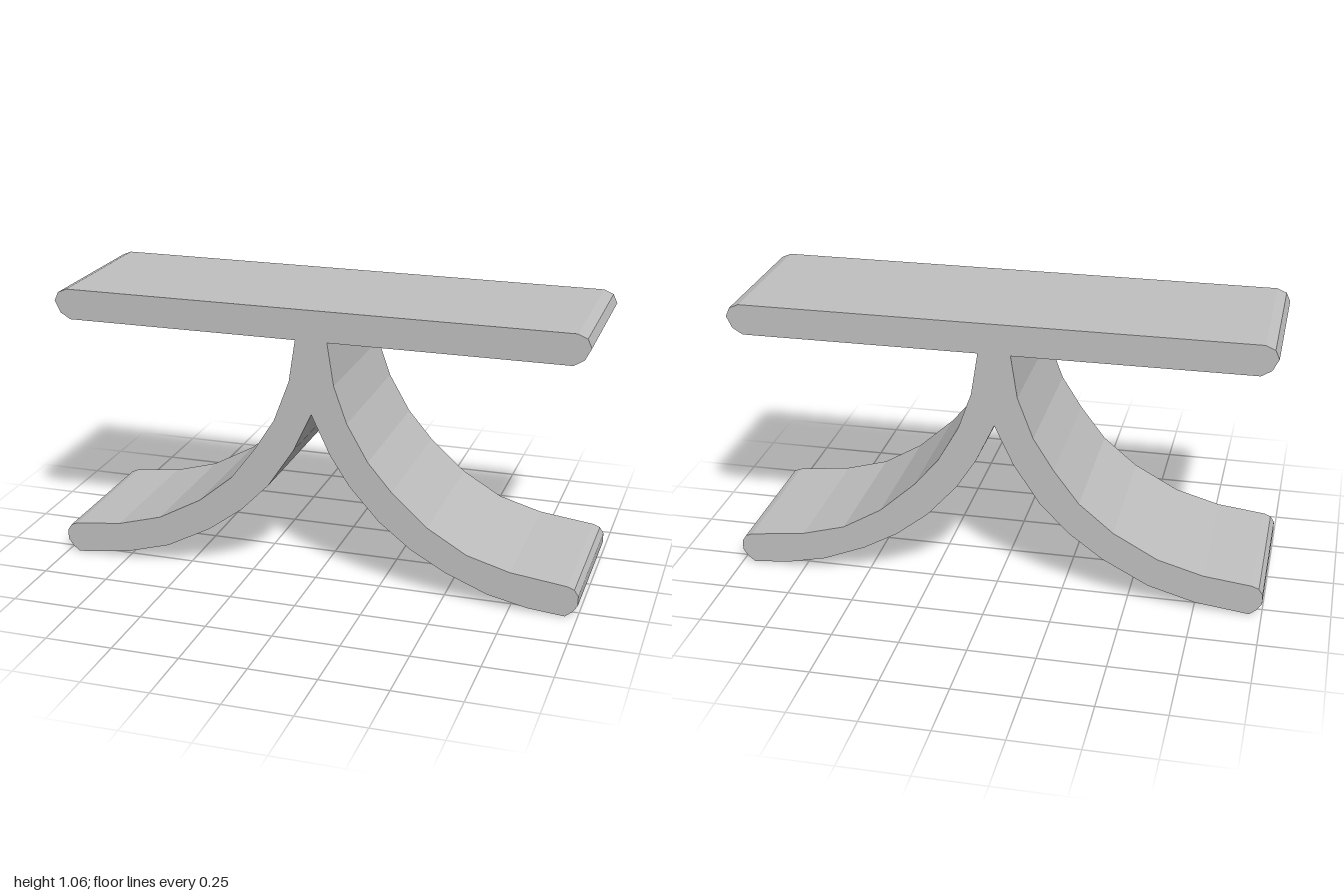
import * as THREE from 'three';

const DEPTH = 0.586;

// Rounded end of the table top, from underside to upper face
const topEnd = [[0.94, 0.945], [0.978, 0.968], [1, 1.012], [0.985, 1.045], [0.95, 1.06]];

// Rounded foot tip, from underside to upper face
const footTip = [[0.955, 0], [0.982, 0.022], [1, 0.048], [1, 0.085], [0.985, 0.108], [0.96, 0.118]];

// Right leg: inner curve from crotch to foot, outer curve from foot to top
const innerRight = [[0.07, 0.52], [0.144, 0.406], [0.257, 0.28], [0.38, 0.183], [0.51, 0.11], [0.67, 0.045], [0.82, 0.012]];
const outerRight = [[0.75, 0.144], [0.588, 0.19], [0.44, 0.278], [0.305, 0.4], [0.214, 0.507], [0.134, 0.647], [0.085, 0.785], [0.06, 0.945]];

// Left leg is faceted at slightly different points along the same curve
const innerLeft = [[0.07, 0.52], [0.17, 0.37], [0.278, 0.26], [0.406, 0.166], [0.578, 0.075], [0.754, 0.025]];
const outerLeft = [[0.78, 0.139], [0.61, 0.187], [0.444, 0.278], [0.315, 0.385], [0.22, 0.51], [0.144, 0.63], [0.085, 0.785], [0.06, 0.945]];

// Half outline from the crotch, around the leg and the table top
const half = (inner, outer) => [...inner, ...footTip, ...outer, ...topEnd];

export function createModel() {
  const group = new THREE.Group();
  group.name = 'table';
  const grey = new THREE.MeshStandardMaterial({ color: 0xc0c0c0 });
  grey.name = 'light grey';

  // Closed side profile: crotch, right half, then left half in reverse
  const right = half(innerRight, outerRight);
  const left = half(innerLeft, outerLeft).map(([x, y]) => [-x, y]).reverse();
  const outline = [[0, 0.668], ...right, ...left].map(([x, y]) => new THREE.Vector2(x, y));

  // Table top and splayed curved legs are one continuous bent slab
  const geometry = new THREE.ExtrudeGeometry(new THREE.Shape(outline), {
    depth: DEPTH, bevelEnabled: false,
  });
  geometry.translate(0, 0, -DEPTH / 2);
  const body = new THREE.Mesh(geometry, grey);
  body.name = 'tableTopAndCurvedLegs';
  group.add(body);
  return group;
}
